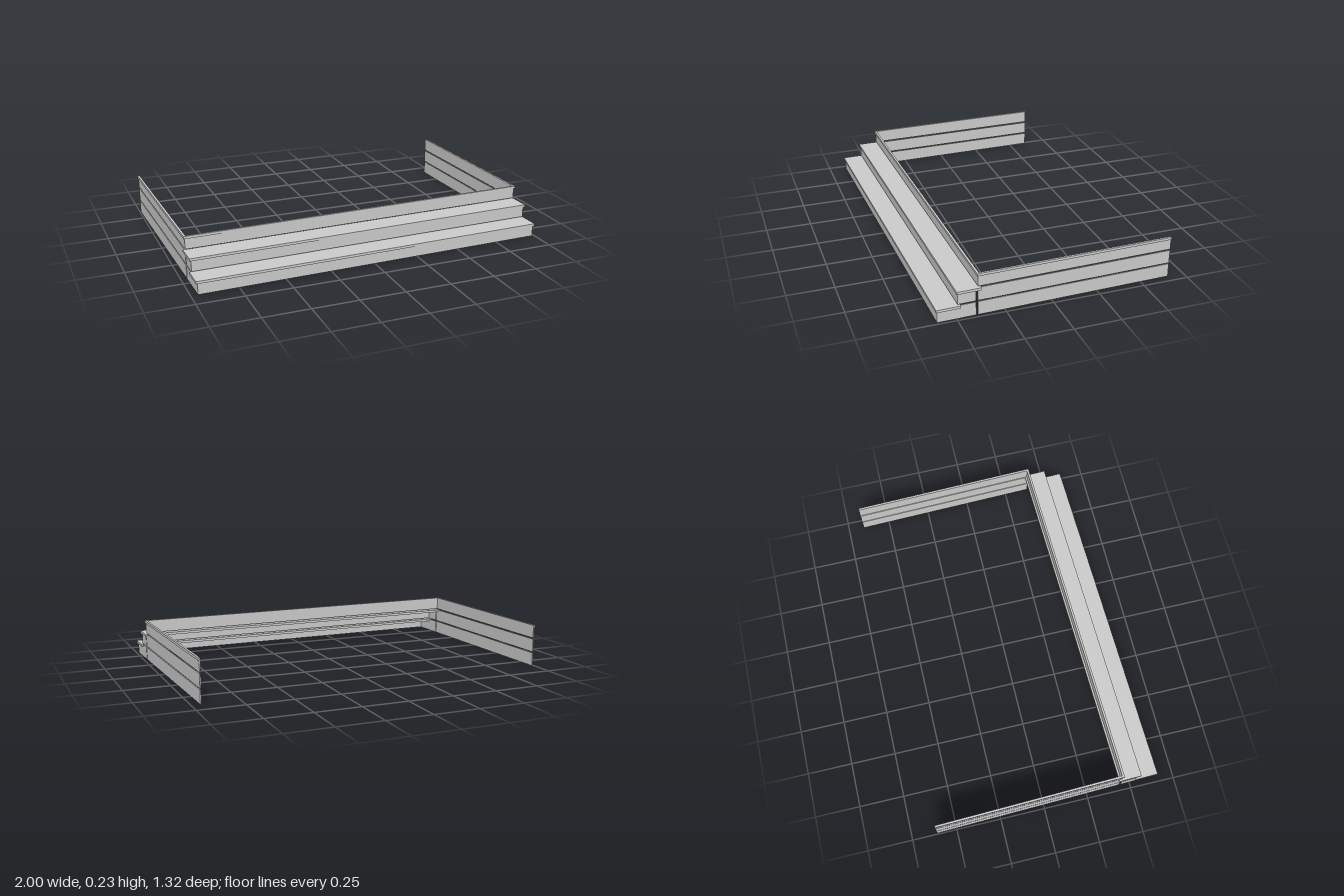
import * as THREE from 'three';

const material = new THREE.MeshStandardMaterial({ color: 0xcccccc, flatShading: true });

// Box given by its limits on each axis
function board(name, [x0, x1], [y0, y1], [z0, z1]) {
  const geo = new THREE.BoxGeometry(x1 - x0, y1 - y0, z1 - z0);
  geo.translate((x0 + x1) / 2, (y0 + y1) / 2, (z0 + z1) / 2);
  const mesh = new THREE.Mesh(geo, material);
  mesh.name = name;
  return mesh;
}

export function createModel() {
  const model = new THREE.Group();
  model.name = 'steppedSurround';
  const frame = new THREE.Group();
  frame.name = 'frame';

  const half = 0.975;    // outer face of the side boards
  const thick = 0.006;   // board thickness
  const lip = 0.006;     // overhang of the top trim
  const back = -0.635;   // rear end of the side walls
  const levels = [
    { y0: 0, y1: 0.074, front: 0.625 },
    { y0: 0.08, y1: 0.153, front: 0.52 },
    { y0: 0.16, y1: 0.232, front: 0.415 },
  ];
  const wallFront = levels[2].front;

  levels.forEach(({ y0, y1, front }, i) => {
    const isTop = i === 2;
    const n = i + 1;
    // Riser across the front
    frame.add(board('riser' + n, [-half, half], [y0, y1 - 0.014], [front - thick, front]));
    // Deep tread on the lower steps, narrow trim along the top one
    if (isTop) {
      frame.add(board('frontTrim', [-half - lip, half + lip], [y1 - 0.014, y1], [front - thick, front + lip]));
    } else {
      frame.add(board('tread' + n, [-half - 0.009, half + 0.009], [y1 - 0.014, y1], [front - 0.12, front + 0.006]));
    }

    for (const s of [-1, 1]) {
      const side = s > 0 ? 'left' : 'right';
      const span = s > 0 ? [half - thick, half] : [-half, -half + thick];
      // Short return board closing the end of a lower step
      if (!isTop) {
        frame.add(board(side + 'StepEnd' + n, span, [y0, y1 - 0.001], [wallFront + 0.01, front - thick]));
      }
      // Long wall board running to the rear
      const wallStart = isTop ? wallFront - thick : wallFront;
      frame.add(board(side + 'WallBoard' + n, span, [y0, isTop ? y1 - 0.014 : y1], [back, wallStart]));
      if (isTop) {
        const trim = s > 0 ? [half - thick, half + lip] : [-half - lip, -half + thick];
        frame.add(board(side + 'WallTrim', trim, [y1 - 0.014, y1], [back, wallStart]));
      }
    }
  });

  // The whole frame is turned slightly
  frame.rotation.y = 0.0254;
  frame.position.x = -0.004;
  model.add(frame);
  return model;
}
